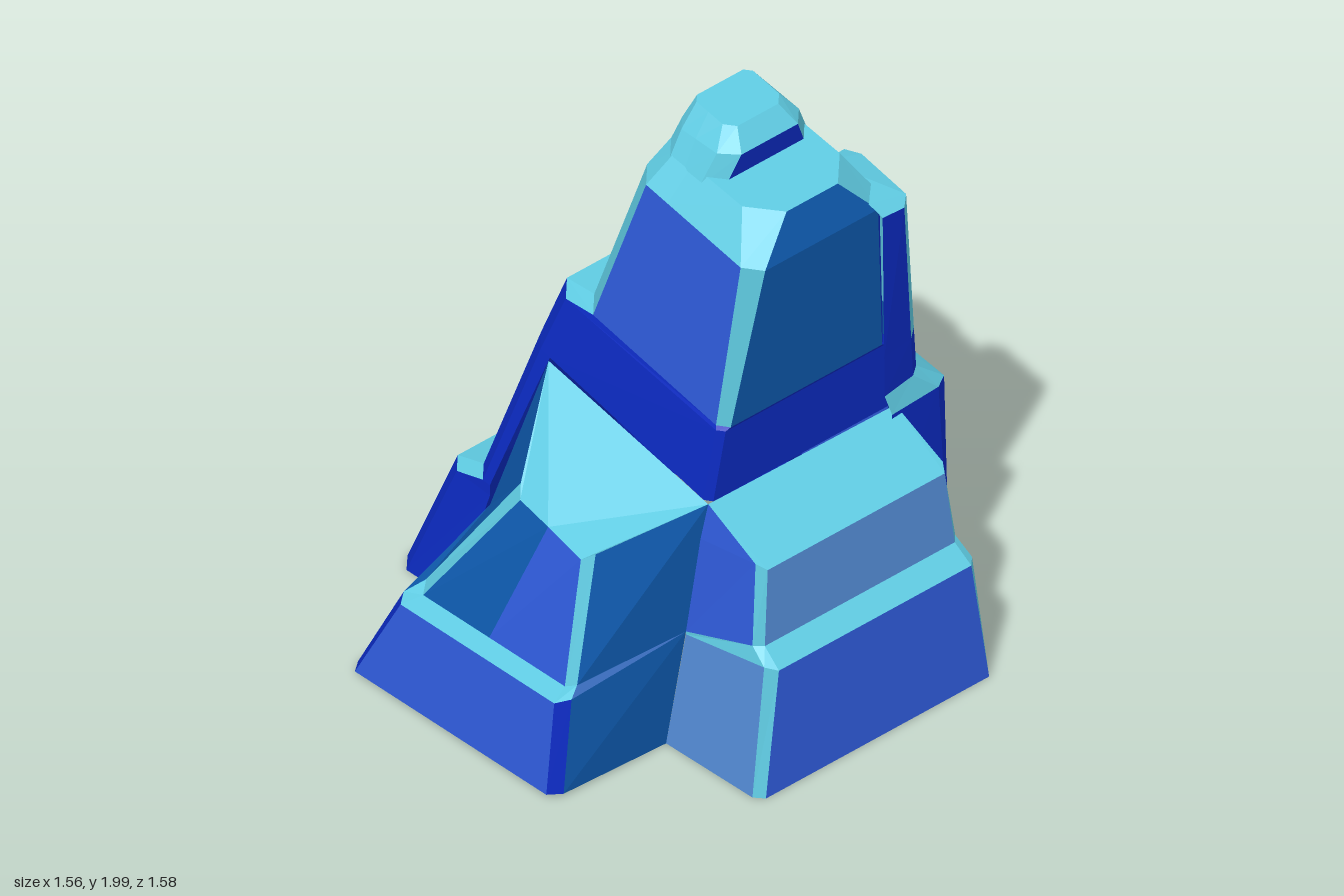
import * as THREE from 'three';

const names = ['cyan', 'deepBlue', 'midBlue', 'steelBlue', 'tealBlue'];
const hexes = [0x5fcbe2, 0x0c2bc4, 0x2f5bdb, 0x538bd4, 0x0e5aae];
const CODE = 'CDMST'; // one letter per colour, '-' leaves a face open

// Joins rows of points with flat quads; bands[j] gives one colour letter per side.
function loft(name, rows, bands, mats, closed = false, cap = null) {
  const pos = [];
  const geo = new THREE.BufferGeometry();
  const add = (letter, ...pts) => {
    geo.addGroup(pos.length / 3, pts.length, CODE.indexOf(letter));
    for (const p of pts) pos.push(...p);
  };
  const same = (p, q) => p.every((v, k) => v === q[k]);
  bands.forEach((band, j) => {
    const lo = rows[j], hi = rows[j + 1];
    [...band].forEach((letter, i) => {
      if (letter === '-') return;
      const n = closed ? (i + 1) % lo.length : i + 1;
      const a = lo[i], b = lo[n], c = hi[n], d = hi[i];
      if (!same(a, b) && !same(b, c)) add(letter, a, b, c);
      if (!same(c, d) && !same(a, d)) add(letter, a, c, d);
    });
  });
  if (cap) {
    const top = rows[rows.length - 1];
    for (let i = 1; i < top.length - 1; i++) add(cap, top[0], top[i], top[i + 1]);
  }
  geo.setAttribute('position', new THREE.Float32BufferAttribute(pos, 3));
  geo.computeVertexNormals();
  const mesh = new THREE.Mesh(geo, mats);
  mesh.name = name;
  return mesh;
}

// Tilted rectangle with bevelled corners; xm splits its front edge.
function section([xl, yl], [xr, yr], zf, zb, cl, cr, xm) {
  const p = (x, z) => [x, yl + (yr - yl) * (x - xl) / (xr - xl), z];
  return [
    p(xl + cl, zf), p(xm, zf), p(xr - cr, zf), p(xr, zf - cr), p(xr, zb + cr),
    p(xr - cr, zb), p(xl + cl, zb), p(xl, zb + cl), p(xl, zf - cl),
  ];
}

// Row part-way between two rows
const mix = (a, b, t) => a.map((p, i) => p.map((v, k) => v + (b[i][k] - v) * t));

export function createModel() {
  const mats = hexes.map((color, i) => {
    const m = new THREE.MeshStandardMaterial({ color, side: THREE.DoubleSide });
    m.name = names[i];
    return m;
  });
  const group = new THREE.Group();
  group.name = 'rockSpire';

  // Leaning spire with stepped left side
  // sides: front left, front right, bevel, right, bevel, back, bevel, left, bevel
  group.add(loft('spire', [
    section([-0.78, 0.01], [0.41, 0.01], 0.34, -0.54, 0.05, 0.02, -0.53),
    section([-0.6, 0.45], [0.43, 0.36], 0.31, -0.51, 0.05, 0.02, -0.41),
    section([-0.49, 0.48], [0.43, 0.37], 0.31, -0.5, 0.05, 0.02, -0.41),
    section([-0.3, 1.03], [0.46, 0.85], 0.26, -0.46, 0.05, 0.02, -0.21),
    section([-0.23, 1.24], [0.485, 1.1], 0.235, -0.43, 0.06, 0.02, -0.1),
    section([-0.12, 1.24], [0.49, 1.11], 0.23, -0.42, 0.06, 0.03, 0),
    section([0.05, 1.77], [0.56, 1.67], 0.18, -0.36, 0.06, 0.05, 0.2),
    section([0.09, 1.87], [0.52, 1.8], 0.1, -0.28, 0.06, 0.09, 0.22),
  ], [
    'D---DDDDD',
    'D---DDCCC',
    'D---DMDDD',
    'DDDDDMDMD',
    'DDDDDDCCC',
    'MMCTDTCMC',
    'CCCTCTCTC',
  ], mats, true, 'C'));

  // Rounded crown standing on the left half of the peak
  group.add(loft('crown', [
    section([0.08, 1.84], [0.32, 1.8], 0.12, -0.3, 0.06, 0.05, 0.2),
    section([0.1, 1.92], [0.34, 1.91], 0.07, -0.25, 0.04, 0.05, 0.2),
    section([0.13, 2], [0.29, 1.97], 0.02, -0.2, 0.02, 0.03, 0.2),
  ], ['CCCDCCCCC', 'CCCCCCCCC'], mats, true, 'C'));

  // Front buttress: left side, bevel, front left, front right, bevel, right side
  const fTopL = [-0.21, 1, 0.265], fTopR = [0.46, 0.85, 0.26];
  const fBackL = [-0.41, 0.4, 0.31], fBackR = [0.42, 0.4, 0.31];
  group.add(loft('frontButtress', [
    [[-0.53, 0.01, 0.34], [-0.49, 0.02, 0.75], [-0.46, 0.02, 0.79], [-0.05, 0.02, 0.79],
      [0.35, 0.02, 0.79], [0.38, 0.02, 0.75], [0.39, 0.01, 0.36]],
    [fBackL, [-0.34, 0.33, 0.71], [-0.31, 0.32, 0.75], [0, 0.32, 0.75],
      [0.34, 0.32, 0.75], [0.37, 0.33, 0.71], fBackR],
    [fBackL, [-0.31, 0.36, 0.65], [-0.28, 0.34, 0.69], [0, 0.34, 0.69],
      [0.32, 0.34, 0.69], [0.35, 0.35, 0.67], fBackR],
    [fTopL, [-0.04, 0.79, 0.53], [-0.01, 0.76, 0.56], [0.13, 0.75, 0.58],
      [0.29, 0.73, 0.6], [0.32, 0.75, 0.57], fTopR],
    [fTopL, fTopL, fTopL, fTopL, fTopR, fTopR, fTopR],
  ], ['DDMMDT', 'TCCCCT', 'TCTMCT', 'CCCCCC'], mats));

  // Side buttress: front, bevel, side, bevel, back
  const sF = [0.46, 0.85, 0.26], sB = [0.47, 0.85, -0.46];
  group.add(loft('sideButtress', [
    [[0.39, 0.01, 0.36], [0.75, 0.01, 0.355], [0.78, 0.01, 0.33],
      [0.78, 0.01, -0.54], [0.75, 0.01, -0.56], [0.41, 0.01, -0.56]],
    [[0.42, 0.39, 0.31], [0.74, 0.44, 0.3], [0.77, 0.43, 0.27],
      [0.77, 0.43, -0.48], [0.74, 0.43, -0.51], [0.42, 0.43, -0.52]],
    [[0.42, 0.4, 0.31], [0.68, 0.48, 0.29], [0.705, 0.48, 0.265],
      [0.705, 0.48, -0.475], [0.68, 0.48, -0.5], [0.43, 0.48, -0.51]],
    [[0.44, 0.73, 0.28], [0.66, 0.745, 0.26], [0.69, 0.73, 0.24],
      [0.69, 0.73, -0.45], [0.66, 0.745, -0.47], [0.45, 0.73, -0.48]],
    [sF, sF, sF, sB, sB, sB],
  ], ['SCMCD', 'CCCCC', 'MCSCT', 'MCCCT'], mats));

  // Back column: right side, bevel, back, bevel, left side
  const base = [[0.42, 0.01, -0.5], [0.4, 0.01, -0.74], [0.34, 0.01, -0.79],
    [-0.03, 0.01, -0.79], [-0.08, 0.01, -0.74], [-0.08, 0.01, -0.5]];
  const ledge = [[0.5, 0.85, -0.42], [0.49, 0.85, -0.61], [0.47, 0.86, -0.65],
    [0.2, 0.9, -0.65], [0.15, 0.9, -0.61], [0.13, 0.9, -0.42]];
  const shelf = [[0.49, 0.92, -0.4], [0.48, 0.93, -0.52], [0.46, 0.94, -0.55],
    [0.22, 0.98, -0.55], [0.18, 0.98, -0.52], [0.18, 0.98, -0.4]];
  const top = [[0.59, 1.66, -0.3], [0.595, 1.66, -0.38], [0.57, 1.68, -0.41],
    [0.37, 1.71, -0.42], [0.33, 1.72, -0.39], [0.33, 1.72, -0.3]];
  const tR = [0.55, 1.7, -0.28], tL = [0.36, 1.75, -0.28];
  group.add(loft('backColumn', [
    base, mix(base, ledge, 0.5), ledge, shelf, mix(shelf, top, 0.22), top,
    [tR, tR, tR, tL, tL, tL],
  ], ['DDMDD', 'DDTDD', 'CCCCC', 'DDTDD', 'DCCDD', 'CCCCC'], mats));

  return group;
}
